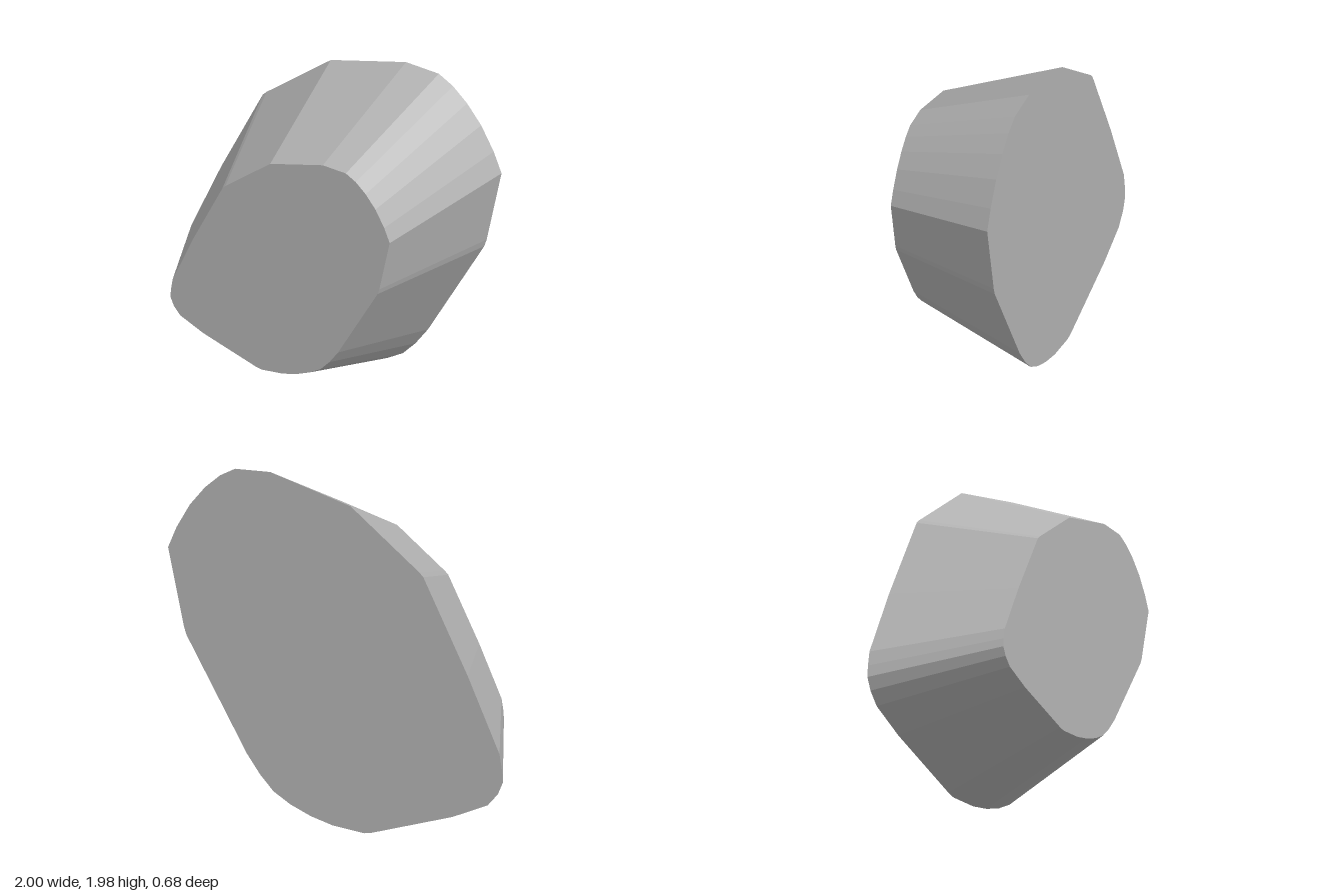
import * as THREE from 'three';

export function createModel() {
  const group = new THREE.Group();
  group.name = 'taperedStone';
  const stoneGrey = new THREE.MeshStandardMaterial({ color: 0xb3b3b3 });
  stoneGrey.name = 'stoneGrey';

  // Outline of the wide back face, counter-clockwise seen from the front
  const outline = [
    [0.6, 1.97], [0.39, 1.98], [-0.09, 1.85], [-0.5, 1.53], [-0.525, 1.505],
    [-0.79, 0.98], [-0.98, 0.56], [-0.995, 0.47], [-1, 0.4], [-0.97, 0.33], [-0.91, 0.26],
    [-0.7, 0.165], [-0.22, 0.01], [-0.17, 0], [0.02, 0.02], [0.15, 0.055], [0.27, 0.105],
    [0.37, 0.165], [0.45, 0.25], [0.53, 0.36], [0.89, 0.985], [0.905, 1.03],
    [1, 1.47], [0.95, 1.59], [0.87, 1.73], [0.78, 1.84], [0.69, 1.92],
  ].map(([x, y]) => new THREE.Vector2(x, y));

  // Straight block, then shrink the front face to make the sloping sides
  const depth = 0.68, taper = 0.7;
  const geometry = new THREE.ExtrudeGeometry(new THREE.Shape(outline), {
    depth, bevelEnabled: false, steps: 1,
  });
  geometry.translate(0, 0, -depth / 2);
  const p = geometry.attributes.position;
  for (let i = 0; i < p.count; i++) {
    if (p.getZ(i) > 0) {
      p.setX(i, p.getX(i) * taper + 0.01);
      p.setY(i, p.getY(i) * taper + 0.245);
    }
  }
  geometry.computeVertexNormals(); // unshared corners keep the facets flat

  const stone = new THREE.Mesh(geometry, stoneGrey);
  stone.name = 'stoneBody';
  group.add(stone);
  return group;
}
